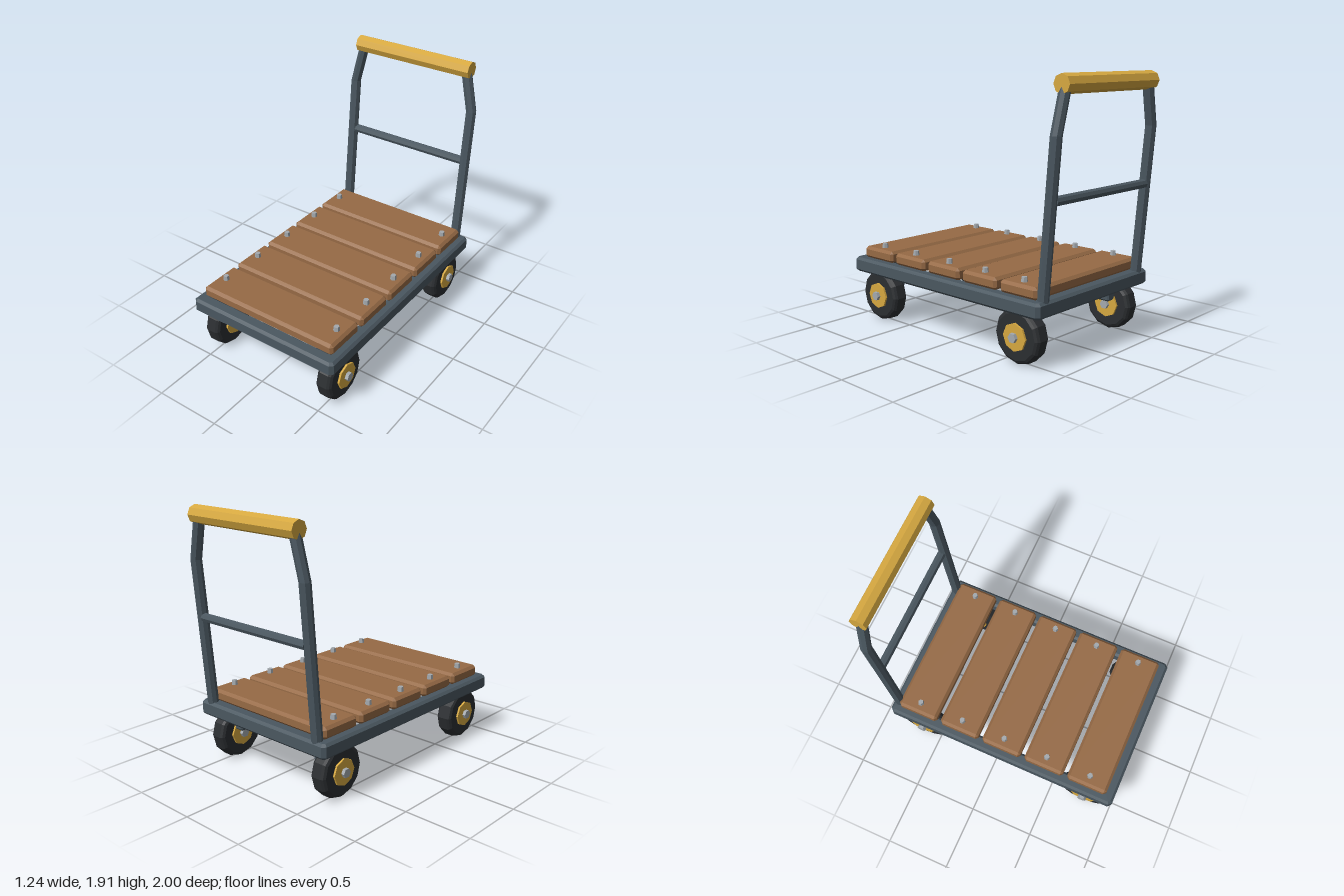
import * as THREE from 'three';
import { ConvexGeometry } from 'three/addons/geometries/ConvexGeometry.js';

const paint = (color) => new THREE.MeshStandardMaterial({ color, flatShading: true });

// Box with every edge chamfered
function chamferBox(w, h, d, c) {
  const pts = [];
  for (const x of [-1, 1]) for (const y of [-1, 1]) for (const z of [-1, 1]) {
    const [a, b, e] = [w / 2, h / 2, d / 2];
    pts.push(
      new THREE.Vector3(x * a, y * (b - c), z * (e - c)),
      new THREE.Vector3(x * (a - c), y * b, z * (e - c)),
      new THREE.Vector3(x * (a - c), y * (b - c), z * e));
  }
  return new ConvexGeometry(pts);
}

// Outline of a rectangle with cut corners
function cutRect(path, x, y0, y1, c) {
  path.moveTo(-x + c, y0);
  path.lineTo(x - c, y0);
  path.lineTo(x, y0 + c);
  path.lineTo(x, y1 - c);
  path.lineTo(x - c, y1);
  path.lineTo(-x + c, y1);
  path.lineTo(-x, y1 - c);
  path.lineTo(-x, y0 + c);
  path.closePath();
  return path;
}

// Cylinder lying along x
const axle = (r, length, sides) =>
  new THREE.CylinderGeometry(r, r, length, sides).rotateZ(Math.PI / 2);

export function createModel() {
  const model = new THREE.Group();
  const steel = paint(0x4a5760);
  const wood = paint(0x966a45);
  const yellow = paint(0xd6a840);
  const rubber = paint(0x2b2e31);
  const metal = paint(0xa3a9ae);

  function add(parent, name, geometry, material, x = 0, y = 0, z = 0) {
    const mesh = new THREE.Mesh(geometry, material);
    mesh.name = name;
    mesh.position.set(x, y, z);
    parent.add(mesh);
    return mesh;
  }

  // Open rectangular frame with chamfered rails
  const b = 0.018;
  const outline = cutRect(new THREE.Shape(), 0.62 - b, -1 + b, 0.87 - b, 0.015);
  outline.holes.push(cutRect(new THREE.Path(), 0.52 + b, -0.9 - b, 0.77 + b, 0.005));
  const frame = new THREE.ExtrudeGeometry(outline, {
    depth: 0.11 - 2 * b, bevelEnabled: true, bevelThickness: b, bevelSize: b, bevelSegments: 1,
  });
  frame.rotateX(-Math.PI / 2);
  add(model, 'frame', frame, steel, 0, 0.36 + b, 0);

  // Deck planks, each held by two bolts
  const plankGeo = chamferBox(1.14, 0.088, 0.32, 0.02);
  const boltGeo = new THREE.CylinderGeometry(0.02, 0.026, 0.05, 6);
  for (let i = 0; i < 5; i++) {
    const plank = new THREE.Group();
    plank.name = 'deckPlank';
    plank.position.z = 0.77 - i * 0.354;
    add(plank, 'plank', plankGeo, wood, 0, 0.512, 0);
    for (const s of [-1, 1]) add(plank, 'deckBolt', boltGeo, metal, s * 0.495, 0.565, 0);
    model.add(plank);
  }

  // Wheels with hub, axle bolt and inner bracket
  const profile = [[0, -0.0625], [0.165, -0.0625], [0.183, -0.052], [0.194, -0.035],
    [0.194, 0.035], [0.183, 0.052], [0.165, 0.0625], [0, 0.0625]]
    .map(([r, h]) => new THREE.Vector2(r, h));
  const tireGeo = new THREE.LatheGeometry(profile, 12).rotateZ(Math.PI / 2);
  const hubGeo = axle(0.098, 0.155, 8);
  const axleGeo = axle(0.034, 0.205, 6);
  const bracketGeo = chamferBox(0.085, 0.17, 0.14, 0.012);
  for (const s of [-1, 1]) for (const z of [0.77, -0.635]) {
    const wheel = new THREE.Group();
    wheel.name = (z > 0 ? 'front' : 'rear') + (s > 0 ? 'Left' : 'Right') + 'Wheel';
    wheel.position.set(s * 0.507, 0.194, z);
    add(wheel, 'tire', tireGeo, rubber);
    add(wheel, 'hub', hubGeo, yellow);
    add(wheel, 'axleBolt', axleGeo, metal);
    add(wheel, 'wheelBracket', bracketGeo, steel, s * -0.1, 0.126, 0);
    model.add(wheel);
  }

  // Handle posts: leaning back, then bending inwards near the top
  const bends = [[0.522, 0.42, -0.825], [0.522, 1.53, -0.922], [0.452, 1.83, -0.934]];
  for (const s of [-1, 1]) {
    const post = new THREE.CylinderGeometry(0.04, 0.04, 2, 8, 2);
    const pos = post.attributes.position;
    for (let i = 0; i < pos.count; i++) {
      const [x, y, z] = bends[Math.round(pos.getY(i)) + 1];
      pos.setXYZ(i, pos.getX(i) + s * x, y, pos.getZ(i) + z);
    }
    post.computeVertexNormals();
    add(model, s > 0 ? 'leftHandlePost' : 'rightHandlePost', post, steel);
  }

  // Cross bar and grip
  add(model, 'crossBar', axle(0.033, 1.0, 8), steel, 0, 1.117, -0.893);
  add(model, 'handleGrip', axle(0.065, 0.985, 8), yellow, 0, 1.845, -0.935);

  return model;
}
